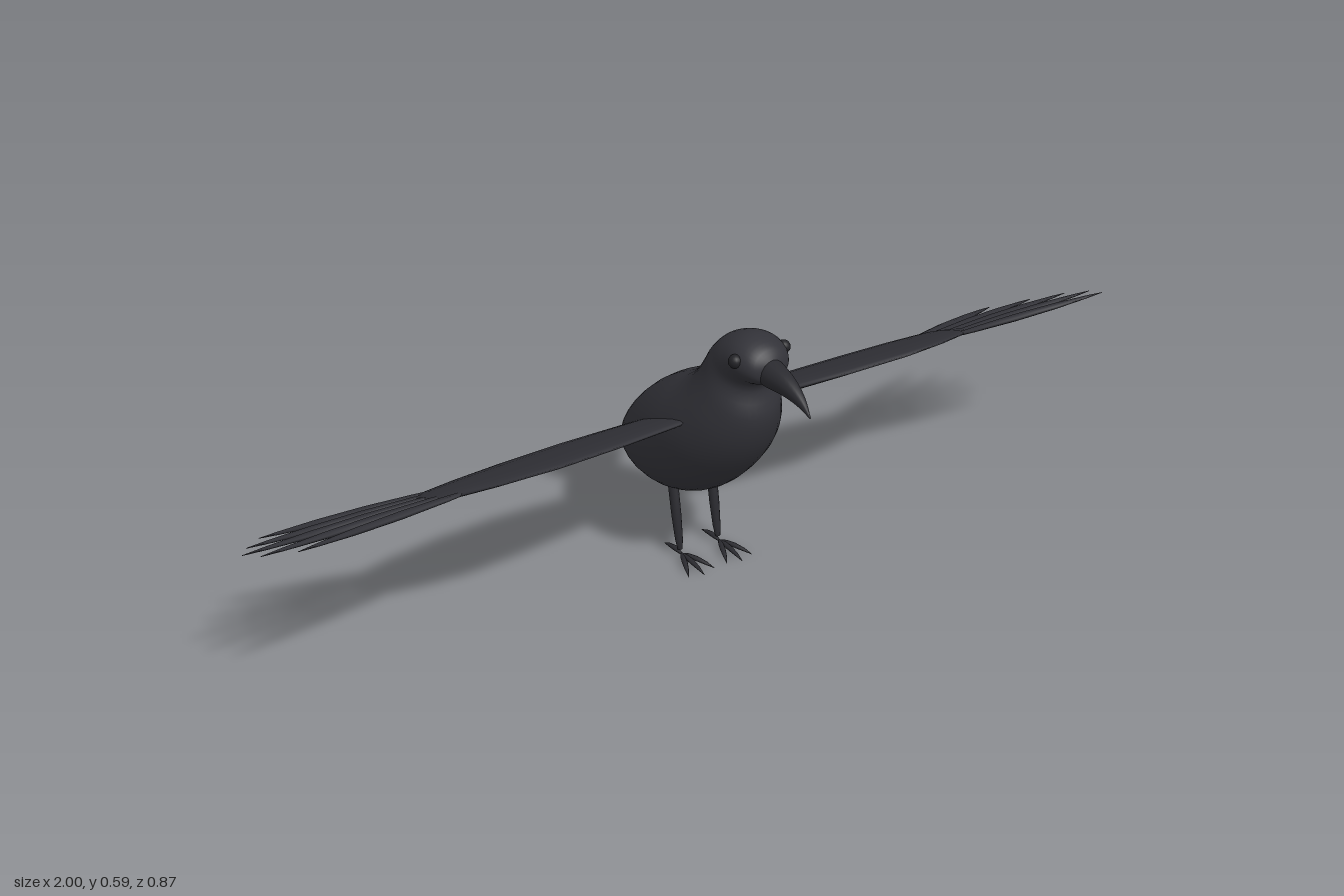
import * as THREE from 'three';

const V = (x, y, z) => new THREE.Vector3(x, y, z);

// Closed skin over elliptical sections { c: centre, u: up radius, v: side radius }
function loft(sections, sides) {
  const pos = [], index = [], last = sections.length - 1;
  sections.forEach(({ c, u, v }) => {
    for (let j = 0; j < sides; j++) {
      const a = (j / sides) * Math.PI * 2;
      pos.push(...c.clone().addScaledVector(u, Math.cos(a)).addScaledVector(v, Math.sin(a)).toArray());
    }
  });
  const start = pos.length / 3, end = start + 1;
  pos.push(...sections[0].c.toArray(), ...sections[last].c.toArray());
  for (let j = 0; j < sides; j++) {
    const k = (j + 1) % sides;
    for (let i = 0; i < last; i++) {
      const a = i * sides, b = a + sides;
      index.push(a + j, b + j, a + k, b + j, b + k, a + k);
    }
    index.push(start, j, k, end, last * sides + k, last * sides + j);
  }
  const g = new THREE.BufferGeometry();
  g.setAttribute('position', new THREE.Float32BufferAttribute(pos, 3));
  g.setIndex(index);
  g.computeVertexNormals();
  return g;
}

// Smooth form in the middle plane from rows [topZ, topY, bottomZ, bottomY, halfWidth]
function profileLoft(rows, steps, sides) {
  const top = new THREE.CatmullRomCurve3(rows.map(r => V(r[4], r[1], r[0])));
  const low = new THREE.CatmullRomCurve3(rows.map(r => V(0, r[3], r[2])));
  const sections = [];
  for (let i = 0; i <= steps; i++) {
    const a = top.getPoint(i / steps), b = low.getPoint(i / steps);
    const w = Math.max(a.x, 0.001);
    a.x = 0;
    b.x = 0;
    sections.push({ c: a.clone().add(b).multiplyScalar(0.5), u: a.clone().sub(b).multiplyScalar(0.5), v: V(w, 0, 0) });
  }
  return loft(sections, sides);
}

// Slender pointed form from p to q; arch lifts its middle
function spindle(p, q, width, thick, up, profile, arch = 0, sides = 8) {
  const dir = q.clone().sub(p).normalize();
  const side = up.clone().cross(dir).normalize();
  const n = dir.clone().cross(side);
  return loft(profile.map(([t, r]) => ({
    c: p.clone().lerp(q, t).addScaledVector(up, arch * 4 * t * (1 - t)),
    u: n.clone().multiplyScalar(thick * r),
    v: side.clone().multiplyScalar(width * r),
  })), sides);
}

export function createModel() {
  const model = new THREE.Group();
  const material = (name, color) => {
    const m = new THREE.MeshStandardMaterial({ color });
    m.name = name;
    return m;
  };
  const plumage = material('charcoal plumage', 0x323238);
  const horn = material('dark horn', 0x2a2a2f);
  const eyeBlack = material('eye black', 0x222226);
  const add = (name, geometry, mat, parent = model) => {
    const mesh = new THREE.Mesh(geometry, mat);
    mesh.name = name;
    parent.add(mesh);
    return mesh;
  };

  // Body, neck and head in one skin, from rump to face
  add('body', profileLoft([
    [-0.165, 0.205, -0.164, 0.198, 0.004],
    [-0.164, 0.225, -0.15, 0.17, 0.035],
    [-0.148, 0.257, -0.11, 0.147, 0.068],
    [-0.1, 0.318, -0.04, 0.135, 0.1],
    [-0.04, 0.372, 0.04, 0.143, 0.117],
    [0.03, 0.418, 0.13, 0.185, 0.124],
    [0.08, 0.445, 0.21, 0.26, 0.117],
    [0.112, 0.472, 0.265, 0.34, 0.1],
    [0.13, 0.502, 0.286, 0.415, 0.081],
    [0.15, 0.535, 0.273, 0.472, 0.068],
    [0.19, 0.57, 0.283, 0.493, 0.064],
    [0.245, 0.588, 0.3, 0.5, 0.06],
    [0.292, 0.576, 0.312, 0.51, 0.044],
    [0.313, 0.552, 0.316, 0.525, 0.018],
    [0.317, 0.542, 0.317, 0.535, 0.003],
  ], 56, 32), plumage);

  // Curved bill
  add('bill', profileLoft([
    [0.29, 0.558, 0.29, 0.497, 0.03],
    [0.32, 0.553, 0.32, 0.497, 0.027],
    [0.37, 0.54, 0.36, 0.499, 0.019],
    [0.41, 0.516, 0.4, 0.495, 0.01],
    [0.436, 0.485, 0.434, 0.483, 0.001],
  ], 16, 16), horn);

  // Tail fan: a slab that widens, bends and ends in a point
  const tailRows = [[0.1, 0.108, -0.345, 0.07], [0.003, 0.003, -0.427, 0.022], [0.04, 0.04, -0.14, 0.208]];
  const tail = new THREE.BoxGeometry(1, 0.022, 1, 1, 1, 2);
  const tp = tail.attributes.position;
  for (let i = 0; i < tp.count; i++) {
    const z = tp.getZ(i);
    const [, w, cz, cy] = tailRows[z > 0.1 ? 2 : z < -0.1 ? 1 : 0];
    const y = tp.getY(i);
    tp.setXYZ(i, Math.sign(tp.getX(i)) * w, cy + y, cz + y * 0.5);
  }
  const tailFlat = tail.toNonIndexed();
  tailFlat.computeVertexNormals();
  add('tail', tailFlat, plumage);

  // Wings lie in one plane that slopes down to the rear
  const planeY = z => 0.305 + 0.48 * z;
  const wingUp = V(0, 1, -0.48).normalize();
  const wingRows = [ // x, rear z, front z, half thickness
    [0.06, -0.01, 0.15, 0.012], [0.12, -0.03, 0.17, 0.013], [0.28, -0.053, 0.205, 0.013],
    [0.42, -0.043, 0.22, 0.012], [0.53, -0.02, 0.2, 0.011], [0.615, 0.01, 0.17, 0.009],
    [0.645, 0.053, 0.13, 0.005],
  ];
  const feathers = [ // root x, root z, tip x, tip z
    [0.56, 0.155, 0.955, 0.222], [0.57, 0.125, 0.995, 0.143], [0.57, 0.095, 1.0, 0.062],
    [0.57, 0.065, 0.965, -0.01], [0.56, 0.045, 0.91, -0.085],
  ];
  const featherProfile = [[0, 0.3], [0.2, 0.75], [0.45, 1], [0.7, 0.85], [0.9, 0.42], [1, 0.08]];
  const toeProfile = [[0, 0.4], [0.2, 0.9], [0.45, 1], [0.75, 0.7], [1, 0.08]];

  for (const [s, label] of [[1, 'left'], [-1, 'right']]) {
    const wing = new THREE.Group();
    wing.name = label + 'Wing';
    model.add(wing);
    add(label + 'WingPanel', loft(wingRows.map(([x, rear, front, t]) => {
      const mid = (rear + front) / 2, half = (front - rear) / 2;
      return { c: V(s * x, planeY(mid), mid), u: wingUp.clone().multiplyScalar(t), v: V(0, 0.48, 1).multiplyScalar(-s * half) };
    }), 16), plumage, wing);
    feathers.forEach(([x0, z0, x1, z1], i) => add(label + 'Feather' + (i + 1),
      spindle(V(s * x0, planeY(z0), z0), V(s * x1, planeY(z1), z1), 0.019, 0.008, wingUp, featherProfile), plumage, wing));

    // Eye
    add(label + 'Eye', new THREE.SphereGeometry(0.014, 16, 12), eyeBlack).position.set(s * 0.057, 0.55, 0.268);

    // Leg, three front toes and one hind toe
    const x = s * 0.048;
    add(label + 'Leg', spindle(V(x, 0.17, 0.037), V(x, 0.018, 0.064), 0.011, 0.011, V(0, 0, 1),
      [[0, 1], [0.5, 0.95], [0.85, 0.75], [1, 0.5]], 0, 12), horn);
    const foot = new THREE.Group();
    foot.name = label + 'Foot';
    model.add(foot);
    [[-0.032, 0.145], [0, 0.156], [0.032, 0.145], [0, 0.004]].forEach(([dx, z], i) => add(label + 'Toe' + (i + 1),
      spindle(V(x, 0.009, 0.07), V(x + dx, 0.002, z), 0.006, 0.005, V(0, 1, 0), toeProfile, 0.004), horn, foot));
  }
  return model;
}
